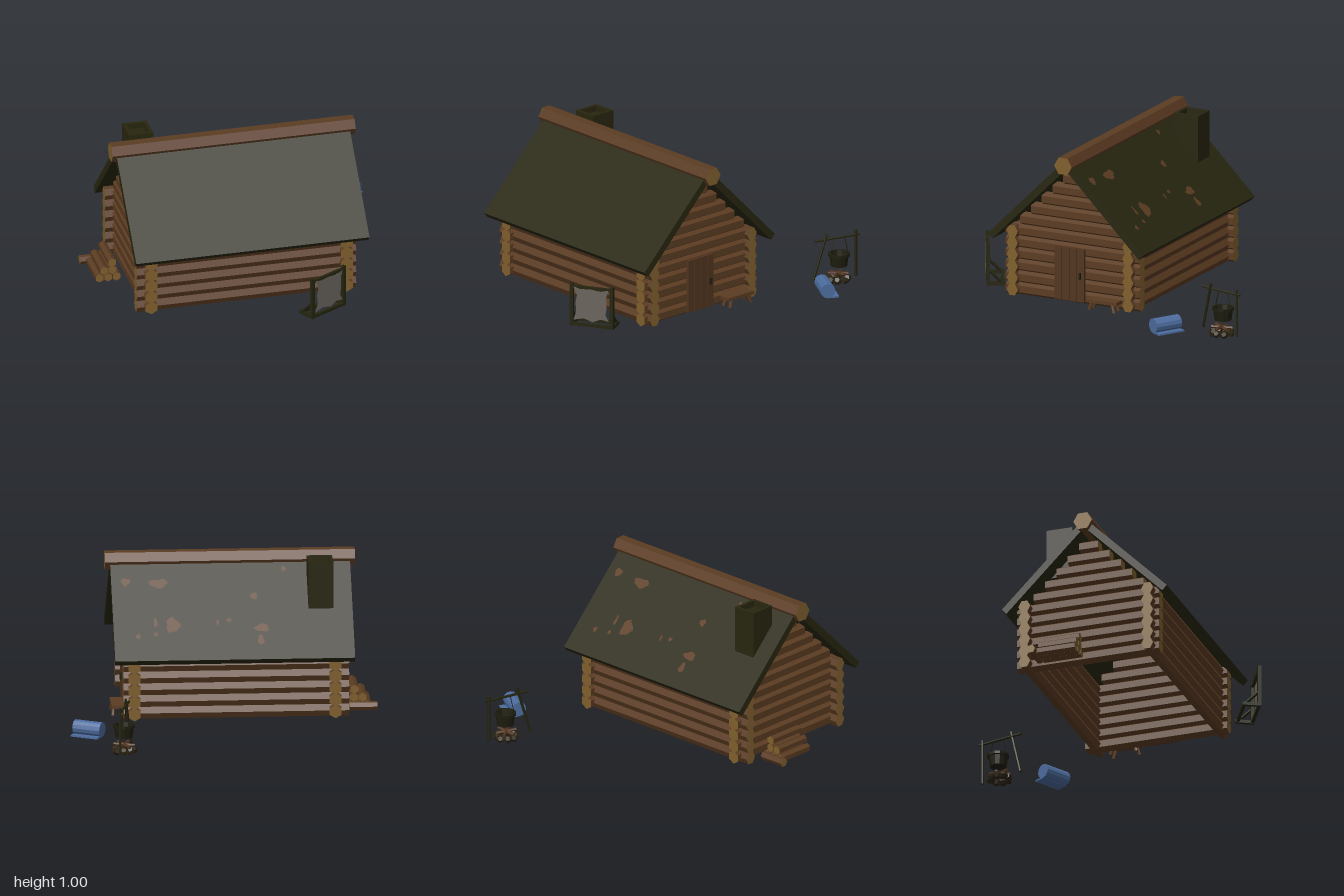
import * as THREE from 'three';

const mat = (name, color, extra = {}) => {
  const m = new THREE.MeshStandardMaterial({ color, flatShading: true, ...extra });
  m.name = name;
  return m;
};

export function createModel() {
  const root = new THREE.Group();
  root.name = 'logCabinCamp';
  const bark = mat('bark brown', 0x5c3c22);
  const cut = mat('cut wood tan', 0x80602e);
  const plank = mat('plank brown', 0x52351f);
  const moss = mat('mossy roof', 0x28260f);
  const darkWood = mat('dark wood', 0x25240f);
  const iron = mat('iron', 0x1e1d0e);
  const stone = mat('stone', 0x2b2313);
  const hideMat = mat('hide grey', 0x6a645d, { side: THREE.DoubleSide });
  const blue = mat('blanket blue', 0x4c6c9e);

  const add = (parent, name, geo, m, x = 0, y = 0, z = 0) => {
    const mesh = new THREE.Mesh(geo, m);
    mesh.name = name;
    mesh.position.set(x, y, z);
    parent.add(mesh);
    return mesh;
  };
  const group = (name, x = 0, y = 0, z = 0, ry = 0) => {
    const g = new THREE.Group();
    g.name = name;
    g.position.set(x, y, z);
    g.rotation.y = ry;
    root.add(g);
    return g;
  };
  // Six-sided log with pale cut ends, lying along x or z
  const log = (parent, name, axis, r, len, x, y, z) => {
    const geo = new THREE.CylinderGeometry(r, r, len, 6);
    if (axis === 'x') geo.rotateZ(Math.PI / 2);
    else geo.rotateX(Math.PI / 2);
    return add(parent, name, geo, [bark, cut, cut], x, y, z);
  };
  // Straight pole between two points
  const pole = (parent, name, a, b, r, m, sides = 6) => {
    const p = new THREE.Vector3(...a), q = new THREE.Vector3(...b);
    const mesh = add(parent, name, new THREE.CylinderGeometry(r, r, p.distanceTo(q), sides), m);
    mesh.position.copy(p).add(q).multiplyScalar(0.5);
    mesh.quaternion.setFromUnitVectors(new THREE.Vector3(0, 1, 0), q.sub(p).normalize());
    return mesh;
  };

  // Log walls
  const pitch = 0.074, R = 0.0427, ridgeZ = 0.213;
  const walls = group('walls');
  for (let i = 0; i < 6; i++) {
    const y = 0.05 + pitch * (i + 0.5);
    for (const z of [0.61, -0.187]) log(walls, 'longWallLog', 'x', R, 1.38, -0.09, y, z).scale.z = 0.9;
    for (const x of [-0.695, 0.535]) log(walls, 'endWallLog', 'z', R, 0.92, x, y, 0.21);
  }
  // Stepped gables
  for (let i = 6; i < 11; i++) {
    const top = 0.05 + pitch * (i + 1);
    for (const x of [-0.695, 0.535]) {
      log(walls, 'gableLog', 'z', R, 2 * (0.925 - top), x, top - pitch / 2, ridgeZ);
    }
  }

  // Pitched roof and ridge log
  const slope = new THREE.Shape([
    [0, 0.977], [-0.535, 0.442], [-0.505, 0.41], [0, 0.914], [0.505, 0.41], [0.535, 0.442],
  ].map(p => new THREE.Vector2(...p)));
  const roofGeo = new THREE.ExtrudeGeometry(slope, { depth: 1.468, bevelEnabled: false });
  roofGeo.rotateY(Math.PI / 2);
  add(root, 'roof', roofGeo, moss, -0.81, 0, ridgeZ);
  log(root, 'ridgeLog', 'x', 0.0605, 1.53, -0.075, 0.946, ridgeZ);

  // Bare patches on the back slope: x, z, width, depth
  const patches = group('roofPatches', 0, 0.977, ridgeZ);
  patches.rotation.x = -Math.PI * 0.75;
  [[-0.24, -0.225, 0.04, 0.05], [-0.25, -0.165, 0.09, 0.04], [-0.21, -0.005, 0.045, 0.035],
    [-0.05, -0.125, 0.03, 0.02], [0.02, -0.135, 0.015, 0.03], [0.295, -0.145, 0.085, 0.075],
    [0.4, -0.13, 0.02, 0.05], [0.4, -0.19, 0.025, 0.02], [0.51, -0.2, 0.03, 0.025],
    [0.37, 0.065, 0.115, 0.045], [0.57, 0.075, 0.055, 0.04], [-0.4, 0.13, 0.03, 0.025],
  ].forEach(([x, z, w, d], n) => {
    const pts = [];
    for (let i = 0; i < 12; i++) {
      const a = i / 12 * Math.PI * 2;
      const k = 0.5 * (1 + 0.16 * Math.sin(3 * a + n) + 0.1 * Math.sin(5 * a + 2 * n));
      pts.push(new THREE.Vector2(Math.cos(a) * k * w, Math.sin(a) * k * d * Math.SQRT2));
    }
    add(patches, 'barePatch', new THREE.ShapeGeometry(new THREE.Shape(pts)), bark,
      x, (ridgeZ - z) * Math.SQRT2, 0.003);
  });

  // Hollow chimney
  const rect = (s, w, h) => s.moveTo(-w, -h).lineTo(w, -h).lineTo(w, h).lineTo(-w, h).closePath();
  const flue = rect(new THREE.Shape(), 0.077, 0.084);
  flue.holes.push(rect(new THREE.Path(), 0.055, 0.062));
  const flueGeo = new THREE.ExtrudeGeometry(flue, { depth: 0.325, bevelEnabled: false });
  flueGeo.rotateX(-Math.PI / 2);
  add(root, 'chimney', flueGeo, moss, -0.617, 0.66, 0.012);
  add(root, 'chimneyFloor', new THREE.BoxGeometry(0.11, 0.02, 0.124), moss, -0.617, 0.94, 0.012);

  // Plank door
  const door = group('door', 0.578, 0, 0.222);
  for (let i = 0; i < 4; i++) {
    add(door, 'doorPlank', new THREE.BoxGeometry(0.02, 0.335, 0.048), plank, 0, 0.232, (i - 1.5) * 0.0515);
  }
  add(door, 'doorBacking', new THREE.BoxGeometry(0.012, 0.33, 0.2), darkWood, -0.005, 0.232, 0);
  add(door, 'doorHandle', new THREE.BoxGeometry(0.02, 0.04, 0.01), iron, 0.015, 0.23, -0.075);

  // Bench beside the door
  const bench = group('bench', 0.63, 0, -0.038);
  add(bench, 'benchSeat', new THREE.BoxGeometry(0.075, 0.02, 0.21), bark, 0, 0.108, 0);
  for (const x of [-0.025, 0.025]) for (const s of [-1, 1]) {
    pole(bench, 'benchLeg', [x, 0.1, s * 0.07], [x * 1.2, 0.05, s * 0.085], 0.011, bark);
  }

  // Firewood stack
  const wood = group('firewood');
  [[-0.9, 0.076], [-0.847, 0.076], [-0.794, 0.076], [-0.873, 0.124], [-0.82, 0.124], [-0.822, 0.174]]
    .forEach(([x, y]) => log(wood, 'firewoodLog', 'z', 0.028, 0.245, x, y, 0.068));
  log(wood, 'crossLog', 'x', 0.028, 0.17, -0.875, 0.076, -0.08);

  // Hide-stretching rack
  const rack = group('hideRack', 0.333, 0, 0.868, 0.509);
  for (const x of [-0.13, 0.13]) {
    add(rack, 'rackUpright', new THREE.BoxGeometry(0.022, 0.27, 0.022), darkWood, x, 0.185, 0.046);
    add(rack, 'rackFoot', new THREE.BoxGeometry(0.022, 0.02, 0.115), darkWood, x, 0.06, -0.002);
    pole(rack, 'rackBrace', [x, 0.06, -0.045], [x, 0.15, 0.046], 0.01, darkWood, 4);
  }
  for (const [y, z] of [[0.06, -0.046], [0.06, 0.046], [0.3, 0.046]]) {
    add(rack, 'rackBar', new THREE.BoxGeometry(0.27, 0.018, 0.018), darkWood, 0, y, z);
  }
  const hide = new THREE.Shape([
    [-0.115, 0.305], [-0.07, 0.292], [0, 0.296], [0.06, 0.288], [0.112, 0.302], [0.095, 0.25],
    [0.1, 0.19], [0.092, 0.14], [0.112, 0.1], [0.06, 0.108], [0.01, 0.085], [-0.05, 0.105],
    [-0.115, 0.088], [-0.096, 0.15], [-0.102, 0.2], [-0.092, 0.25],
  ].map(p => new THREE.Vector2(...p)));
  add(rack, 'hide', new THREE.ShapeGeometry(hide), hideMat, 0, 0, 0.058);

  // Cooking frame, pot and fire ring
  const camp = group('campfire');
  pole(camp, 'frontPole', [0.585, 0.025, -0.7], [0.625, 0.32, -0.775], 0.009, darkWood);
  pole(camp, 'backPole', [0.67, 0.02, -0.976], [0.67, 0.315, -0.976], 0.009, darkWood);
  pole(camp, 'crossBar', [0.6, 0.286, -0.7], [0.677, 0.286, -1], 0.008, darkWood);
  const pot = new THREE.LatheGeometry([
    [0, 0.105], [0.052, 0.105], [0.06, 0.165], [0.068, 0.168], [0.068, 0.185], [0.058, 0.185],
    [0.05, 0.125], [0, 0.125],
  ].map(p => new THREE.Vector2(...p)), 12);
  add(camp, 'pot', pot, iron, 0.64, 0, -0.865);
  for (const s of [-1, 1]) {
    pole(camp, 'potChain', [0.64 - s * 0.016, 0.18, -0.865 + s * 0.06], [0.64 - s * 0.009, 0.286, -0.865 + s * 0.035], 0.003, iron, 4);
  }
  for (let i = 0; i < 8; i++) {
    const a = i / 8 * Math.PI * 2;
    const rock = add(camp, 'fireStone', new THREE.DodecahedronGeometry(0.028), stone,
      0.64 + Math.cos(a) * 0.056, 0.024, -0.855 + Math.sin(a) * 0.056);
    rock.rotation.set(i, i * 2, 0);
    rock.scale.set(1, 0.85, 1);
  }
  for (let i = 0; i < 3; i++) {
    const a = i * Math.PI / 3, c = Math.cos(a) * 0.065, s = Math.sin(a) * 0.065;
    pole(camp, 'fireStick', [0.64 - c, 0.05, -0.855 - s], [0.64 + c, 0.062, -0.855 + s], 0.01, plank);
  }

  // Rolled blanket with a loose flap
  const roll = group('bedroll', 0.842, 0, -0.582, -0.512);
  const rollGeo = new THREE.CylinderGeometry(0.046, 0.046, 0.182, 12);
  rollGeo.rotateZ(Math.PI / 2);
  add(roll, 'blanketRoll', rollGeo, blue, 0, 0.09, 0.012);
  add(roll, 'blanketFlap', new THREE.BoxGeometry(0.182, 0.01, 0.07), blue, 0, 0.048, -0.023);

  return root;
}
